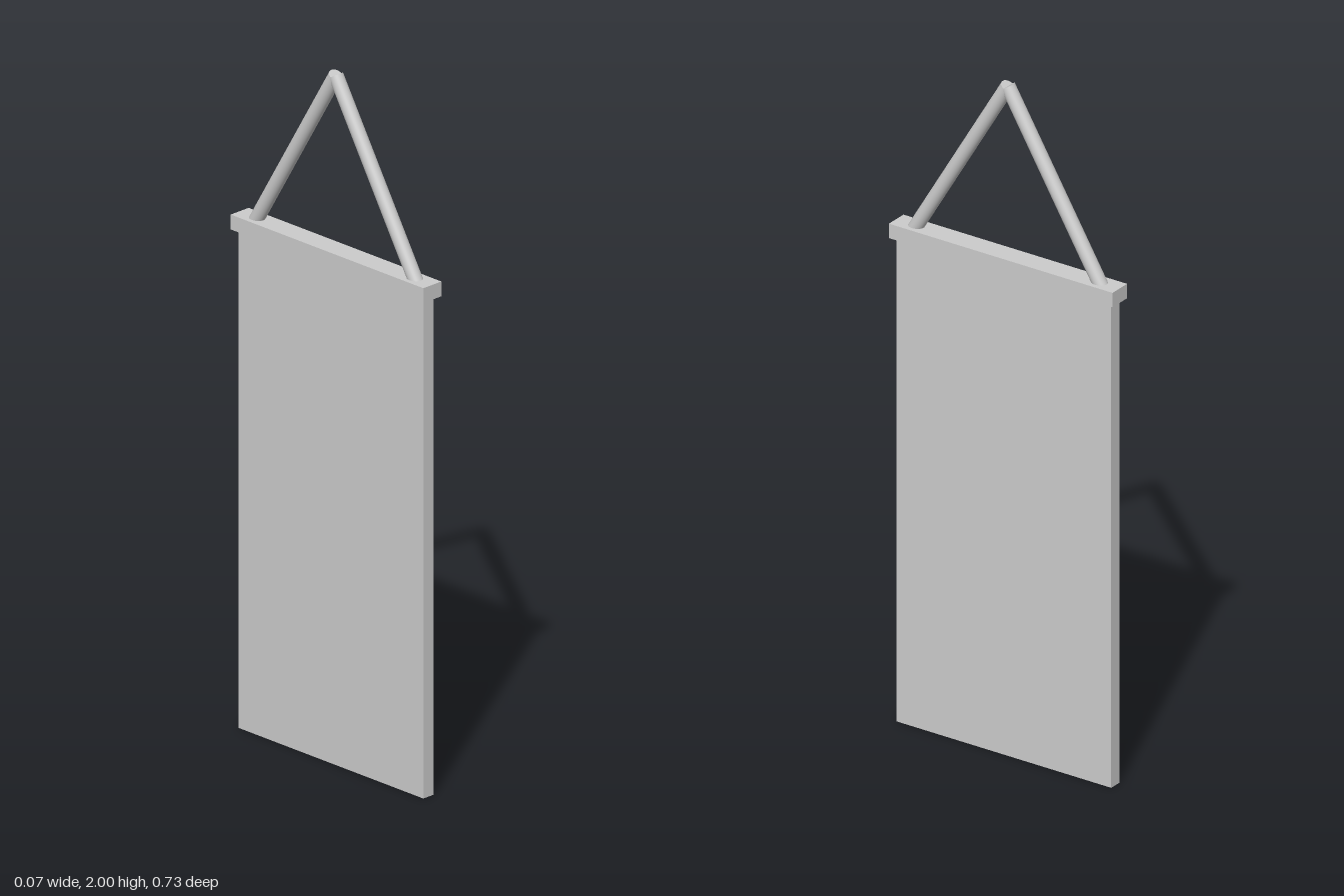
import * as THREE from 'three';

export function createModel() {
  const group = new THREE.Group();
  const material = new THREE.MeshStandardMaterial({ color: 0xcccccc });

  const add = (name, geometry, y) => {
    const mesh = new THREE.Mesh(geometry, material);
    mesh.name = name;
    mesh.position.y = y;
    group.add(mesh);
    return mesh;
  };

  // Hanging panel and the wider bar along its top edge
  const barBottom = 1.445, barTop = 1.488;
  add('bannerPanel', new THREE.BoxGeometry(0.039, barBottom, 0.705), barBottom / 2);
  add('topBar', new THREE.BoxGeometry(0.068, barTop - barBottom, 0.734), (barBottom + barTop) / 2);

  // Two round rods rising from the bar to meet at the hanging point
  const apex = new THREE.Vector3(0, 1.989, 0);
  for (const side of [1, -1]) {
    const foot = new THREE.Vector3(0, 1.475, side * 0.308);
    const direction = apex.clone().sub(foot);
    const rod = add(side > 0 ? 'frontRod' : 'backRod',
      new THREE.CylinderGeometry(0.0205, 0.0205, direction.length(), 32), 0);
    rod.position.copy(foot).lerp(apex, 0.5);
    rod.rotation.x = Math.atan2(direction.z, direction.y);
  }

  return group;
}
